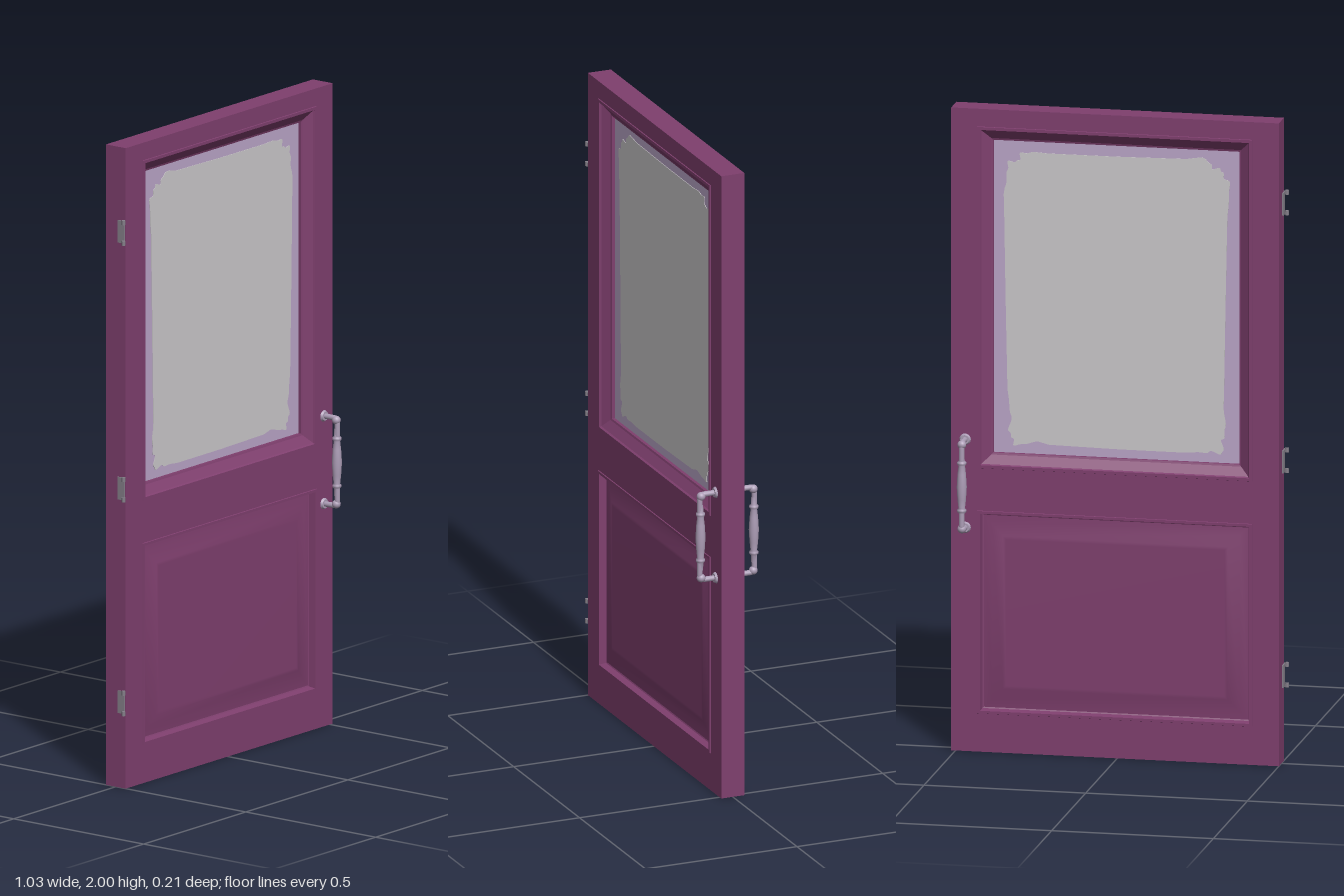
import * as THREE from 'three';

const mat = (name, color, side = THREE.FrontSide) => {
  const m = new THREE.MeshStandardMaterial({ color, side });
  m.name = name;
  return m;
};

// Counter-clockwise corners of a rectangle [x0, y0, x1, y1], shrunk by an inset
const corners = ([x0, y0, x1, y1], i = 0) => [
  [x0 + i, y0 + i], [x1 - i, y0 + i], [x1 - i, y1 - i], [x0 + i, y1 - i],
];

// Nested rectangular loops from [inset, z] pairs, outside to inside
function rectLoops(rect, profile, { smooth = false, cap = false } = {}) {
  const pos = [], idx = [];
  profile.forEach(([inset, z], k) => {
    corners(rect, inset).forEach(([x, y]) => pos.push(x, y, z));
    if (!k) return;
    for (let c = 0; c < 4; c++) {
      const d = (c + 1) % 4, a = (k - 1) * 4, b = k * 4;
      idx.push(a + c, a + d, b + d, a + c, b + d, b + c);
    }
  });
  if (cap) {
    const b = (profile.length - 1) * 4;
    idx.push(b, b + 1, b + 2, b, b + 2, b + 3);
  }
  let g = new THREE.BufferGeometry();
  g.setAttribute('position', new THREE.Float32BufferAttribute(pos, 3));
  g.setIndex(idx);
  if (!smooth) g = g.toNonIndexed();
  g.computeVertexNormals();
  return g;
}

export function createModel() {
  const plum = mat('plum paint', 0x7f3f6e);
  const lilac = mat('lilac glass edge', 0xbba6c8);
  const grey = mat('frosted glass', 0xcbc8cb);
  const metal = mat('handle metal', 0xac9db6);
  const steel = mat('hinge metal', 0x85808a);

  const model = new THREE.Group();
  model.name = 'door';
  const add = (parent, name, geo, material, x = 0, y = 0, z = 0) => {
    const m = new THREE.Mesh(geo, material);
    m.name = name;
    m.position.set(x, y, z);
    parent.add(m);
    return m;
  };

  const T = 0.038; // half thickness of the door
  const window_ = [-0.415, 0.885, 0.43, 1.942];
  const panel = [-0.415, 0.122, 0.43, 0.747];

  // Stiles and rails, one slab with two openings
  const toPoints = (r) => corners(r).map(([x, y]) => new THREE.Vector2(x, y));
  const slab = new THREE.Shape(toPoints([-0.5, 0, 0.513, 2]));
  [window_, panel].forEach((r) => slab.holes.push(new THREE.Path(toPoints(r).reverse())));
  add(model, 'doorFrame',
    new THREE.ExtrudeGeometry(slab, { depth: 2 * T, bevelEnabled: false }), plum, 0, 0, -T);

  // Glass pane
  const gx = 0.0075, gy = 1.4075;
  add(model, 'glassEdge', new THREE.BoxGeometry(0.765, 0.99, 0.008), lilac, gx, gy, 0);

  // Wavy-edged frosted centre of the pane
  const wavy = [];
  const hw = 0.34, hh = 0.455;
  const wobble = (t) => 0.007 * Math.sin(t * 5) + 0.005 * Math.sin(t * 11 + 1) + 0.003 * Math.sin(t * 23);
  const N = 144;
  for (let i = 0; i < N; i++) {
    const t = (i / N) * Math.PI * 2, c = Math.cos(t), s = Math.sin(t);
    const e = 0.15; // squared-off ellipse
    const w = wobble(t);
    wavy.push(new THREE.Vector2(
      Math.sign(c) * Math.abs(c) ** e * (hw + w),
      Math.sign(s) * Math.abs(s) ** e * (hh + w)));
  }
  const frost = new THREE.ExtrudeGeometry(new THREE.Shape(wavy), { depth: 0.0115, bevelEnabled: false });
  add(model, 'frostedCentre', frost, grey, gx, gy, -0.00575);

  // Mouldings, raised panel and handle, the same on both faces
  const mouldingGeo = rectLoops(window_, [
    [-0.003, T], [-0.002, 0.041], [0.007, 0.041], [0.01, 0.035],
    [0.036, 0.016], [0.042, 0.014], [0.042, 0],
  ]);
  const lipGeo = rectLoops(panel, [
    [-0.003, T], [-0.002, 0.041], [0.006, 0.041], [0.01, 0.02], [0.014, 0.018],
  ]);
  const fieldGeo = rectLoops(panel, [
    [0.012, 0.018], [0.04, 0.021], [0.075, 0.03], [0.085, 0.031],
  ], { smooth: true, cap: true });

  // Pull handle: bent bar, swelling grip, end knobs and roses
  const P = (y, z) => new THREE.Vector3(0, y, z);
  const bar = new THREE.CurvePath();
  bar.add(new THREE.LineCurve3(P(-0.137, 0.03), P(-0.137, 0.075)));
  bar.add(new THREE.QuadraticBezierCurve3(P(-0.137, 0.075), P(-0.137, 0.09), P(-0.12, 0.09)));
  bar.add(new THREE.LineCurve3(P(-0.12, 0.09), P(0.12, 0.09)));
  bar.add(new THREE.QuadraticBezierCurve3(P(0.12, 0.09), P(0.137, 0.09), P(0.137, 0.075)));
  bar.add(new THREE.LineCurve3(P(0.137, 0.075), P(0.137, 0.03)));
  const barGeo = new THREE.TubeGeometry(bar, 72, 0.0085, 12);
  const gripGeo = new THREE.LatheGeometry([
    [0.008, -0.105], [0.009, -0.082], [0.014, -0.077], [0.014, -0.071], [0.01, -0.066],
    [0.013, -0.04], [0.0155, 0], [0.013, 0.04], [0.01, 0.066], [0.014, 0.071],
    [0.014, 0.077], [0.009, 0.082], [0.008, 0.105],
  ].map(([r, y]) => new THREE.Vector2(r, y)), 20);
  const roseGeo = new THREE.CylinderGeometry(0.014, 0.018, 0.007, 20).rotateX(Math.PI / 2);
  const knobGeo = new THREE.SphereGeometry(0.0135, 16, 12);

  for (const front of [true, false]) {
    const face = new THREE.Group();
    face.name = front ? 'frontFace' : 'backFace';
    // The back is the front turned about the openings' own centre line
    if (!front) {
      face.rotation.y = Math.PI;
      face.position.x = 2 * gx;
    }
    model.add(face);
    add(face, 'windowMoulding', mouldingGeo, plum);
    add(face, 'panelMoulding', lipGeo, plum);
    add(face, 'raisedPanel', fieldGeo, plum);

    const handle = new THREE.Group();
    handle.name = 'handle';
    handle.position.set(front ? 0.47 : 2 * gx - 0.47, 0.833, 0);
    face.add(handle);
    add(handle, 'handleBar', barGeo, metal);
    add(handle, 'handleGrip', gripGeo, metal, 0, 0, 0.088);
    for (const s of [-1, 1]) {
      add(handle, 'handleRose', roseGeo, metal, 0, s * 0.137, T + 0.003);
      add(handle, 'handleKnob', knobGeo, metal, 0, s * 0.131, 0.086);
    }
  }

  // Three hinges on the edge: a thin leaf and two knuckles
  const leafGeo = new THREE.BoxGeometry(0.005, 0.07, 0.026);
  const knuckleGeo = new THREE.CylinderGeometry(0.0055, 0.0055, 0.014, 12);
  const armGeo = new THREE.BoxGeometry(0.01, 0.01, 0.005);
  for (const y of [0.268, 0.935, 1.737]) {
    const hinge = new THREE.Group();
    hinge.name = 'hinge';
    hinge.position.set(-0.5, y, 0);
    model.add(hinge);
    add(hinge, 'hingeLeaf', leafGeo, steel, -0.002, 0, 0.022);
    for (const s of [-1, 1]) {
      add(hinge, 'hingeKnuckle', knuckleGeo, steel, -0.0095, s * 0.032, 0.037);
      add(hinge, 'hingeArm', armGeo, steel, -0.004, s * 0.032, 0.035);
    }
  }

  return model;
}
